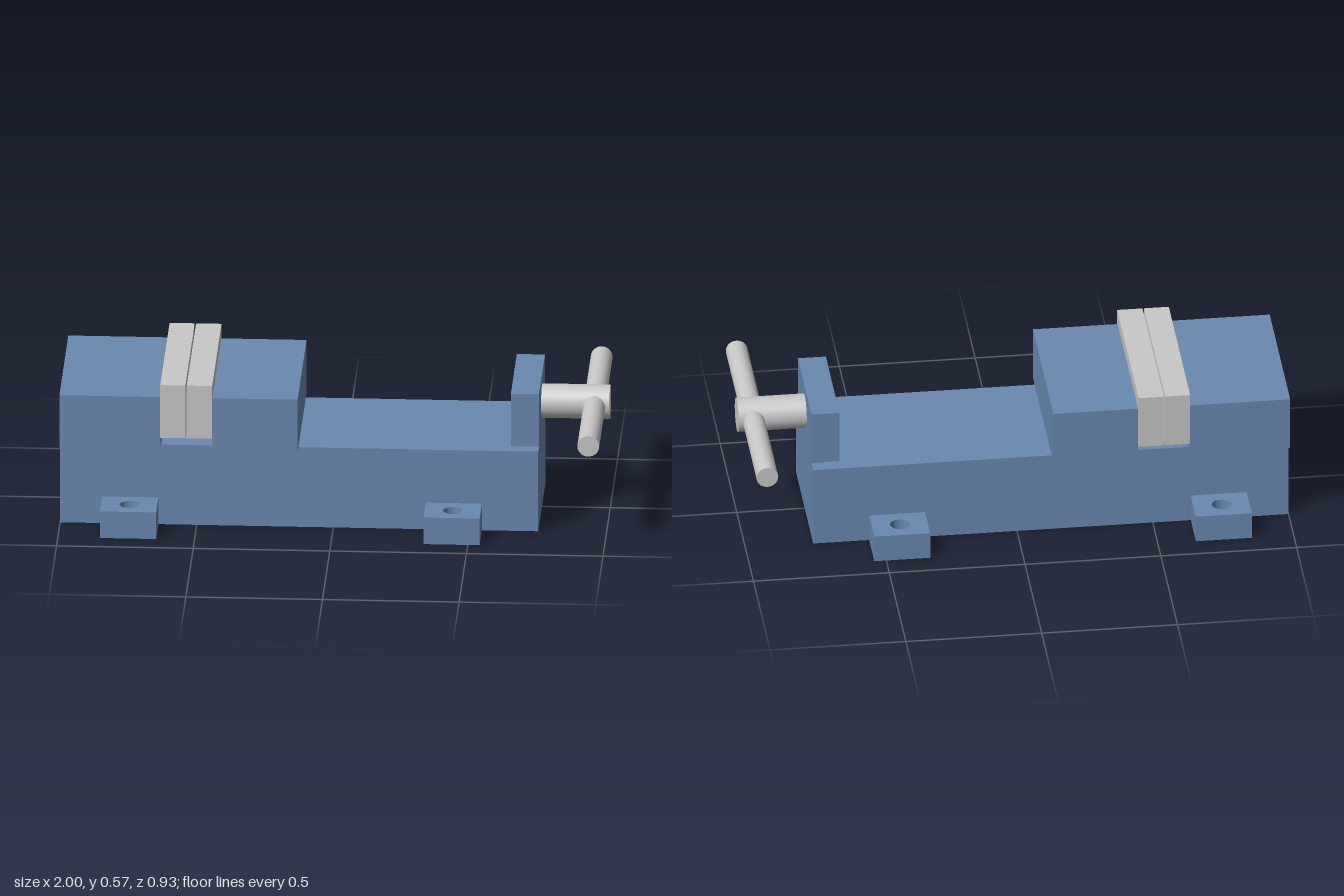
import * as THREE from 'three';

export function createModel() {
  const model = new THREE.Group();
  model.name = 'machineVise';
  const blue = new THREE.MeshStandardMaterial({ name: 'blue paint', color: 0x6a88b0 });
  const steel = new THREE.MeshStandardMaterial({ name: 'steel', color: 0xc8c8c8 });

  const add = (name, geometry, material) => {
    const mesh = new THREE.Mesh(geometry, material);
    mesh.name = name;
    model.add(mesh);
    return mesh;
  };
  // Box from its x and y limits, symmetric about z = 0
  const block = (name, x0, x1, y0, y1, halfZ, material) =>
    add(name, new THREE.BoxGeometry(x1 - x0, y1 - y0, halfZ * 2), material)
      .position.set((x0 + x1) / 2, (y0 + y1) / 2, 0);

  // Body, jaws and screw support
  block('body', -1, 0.75, 0, 0.311, 0.257, blue);
  block('fixedJaw', -1, -0.63, 0.311, 0.516, 0.308, blue);
  block('movingJaw', -0.44, -0.128, 0.311, 0.516, 0.308, blue);
  block('screwSupport', 0.647, 0.75, 0.311, 0.516, 0.205, blue);

  // Gripping plates with a narrow slit between them
  block('fixedJawPlate', -0.63, -0.538, 0.362, 0.568, 0.321, steel);
  block('movingJawPlate', -0.533, -0.44, 0.362, 0.568, 0.321, steel);

  // Mounting lugs with bolt holes
  const lugShape = new THREE.Shape([
    new THREE.Vector2(-0.103, -0.077), new THREE.Vector2(0.103, -0.077),
    new THREE.Vector2(0.103, 0.077), new THREE.Vector2(-0.103, 0.077),
  ]);
  lugShape.holes.push(new THREE.Path().absarc(0, 0, 0.035, 0, Math.PI * 2, true));
  const lugGeometry = new THREE.ExtrudeGeometry(lugShape, {
    depth: 0.104, bevelEnabled: false, curveSegments: 24,
  }).rotateX(-Math.PI / 2);
  for (const x of [-0.743, 0.441]) {
    for (const side of [1, -1]) {
      add('mountingLug', lugGeometry, blue).position.set(x, 0, side * 0.334);
    }
  }

  // Screw end and its cross handle
  add('screw', new THREE.CylinderGeometry(0.063, 0.063, 0.25, 32).rotateZ(Math.PI / 2), steel)
    .position.set(0.875, 0.414, 0);
  add('handle', new THREE.CylinderGeometry(0.04, 0.04, 0.926, 32).rotateX(Math.PI / 2), steel)
    .position.set(0.944, 0.414, 0);

  return model;
}
